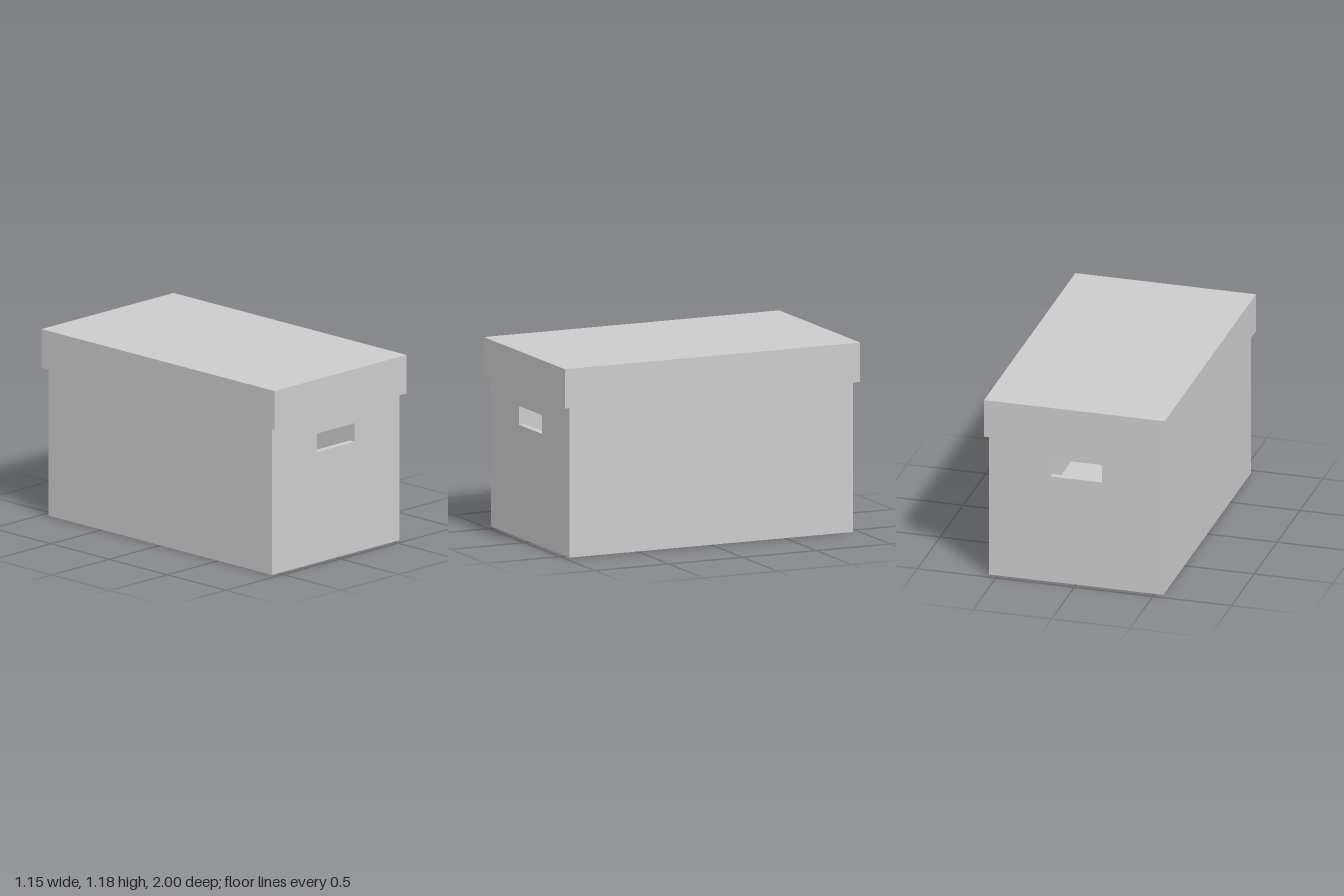
import * as THREE from 'three';

const material = new THREE.MeshStandardMaterial({ color: 0xcccccc });

// Body and lid half sizes, heights and board thicknesses
const BODY = { x: 0.555, z: 0.96, top: 1.15 };
const LID = { x: 0.575, z: 1.0, bottom: 0.935, top: 1.18 };
const SIDE = 0.02, END = 0.04, BOARD = 0.025;

function add(parent, name, geometry, x = 0, y = 0, z = 0) {
  const mesh = new THREE.Mesh(geometry, material);
  mesh.name = name;
  mesh.position.set(x, y, z);
  parent.add(mesh);
  return mesh;
}

function rectangle(target, x0, y0, x1, y1) {
  target.moveTo(x0, y0).lineTo(x1, y0).lineTo(x1, y1).lineTo(x0, y1).closePath();
  return target;
}

// Hand hole: square at the bottom, slightly rounded upper corners
function handHole() {
  const w = 0.163, y0 = 0.703, y1 = 0.82, r = 0.008;
  const hole = new THREE.Path();
  hole.moveTo(-w, y0).lineTo(w, y0).lineTo(w, y1 - r);
  hole.quadraticCurveTo(w, y1, w - r, y1);
  hole.lineTo(-w + r, y1);
  hole.quadraticCurveTo(-w, y1, -w, y1 - r);
  hole.closePath();
  return hole;
}

function createBody() {
  const body = new THREE.Group();
  body.name = 'boxBody';

  // End panels with hand holes
  const endShape = rectangle(new THREE.Shape(), -BODY.x, 0, BODY.x, BODY.top);
  endShape.holes.push(handHole());
  const endPanel = new THREE.ExtrudeGeometry(endShape, { depth: END, bevelEnabled: false, curveSegments: 4 });
  add(body, 'frontPanel', endPanel, 0, 0, BODY.z - END);
  add(body, 'backPanel', endPanel, 0, 0, -BODY.z);

  // Side panels and floor fit between the ends
  const length = 2 * (BODY.z - END);
  for (const side of [1, -1]) {
    add(body, side > 0 ? 'leftPanel' : 'rightPanel',
      new THREE.BoxGeometry(SIDE, BODY.top, length), side * (BODY.x - SIDE / 2), BODY.top / 2, 0);
  }
  add(body, 'floor', new THREE.BoxGeometry(2 * (BODY.x - SIDE), BOARD, length), 0, BOARD / 2, 0);
  return body;
}

function createLid() {
  const lid = new THREE.Group();
  lid.name = 'lid';

  // Hollow rim around the body, closed by a flat top board
  const gap = 0.002;
  const rimShape = rectangle(new THREE.Shape(), -LID.x, -LID.z, LID.x, LID.z);
  rimShape.holes.push(rectangle(new THREE.Path(), -BODY.x - gap, -BODY.z - gap, BODY.x + gap, BODY.z + gap));
  const rim = new THREE.ExtrudeGeometry(rimShape, { depth: LID.top - BOARD - LID.bottom, bevelEnabled: false });
  rim.rotateX(-Math.PI / 2);
  add(lid, 'lidRim', rim, 0, LID.bottom, 0);
  add(lid, 'lidTop', new THREE.BoxGeometry(2 * LID.x, BOARD, 2 * LID.z), 0, LID.top - BOARD / 2, 0);
  return lid;
}

export function createModel() {
  const model = new THREE.Group();
  model.name = 'storageBox';
  model.add(createBody(), createLid());
  return model;
}
